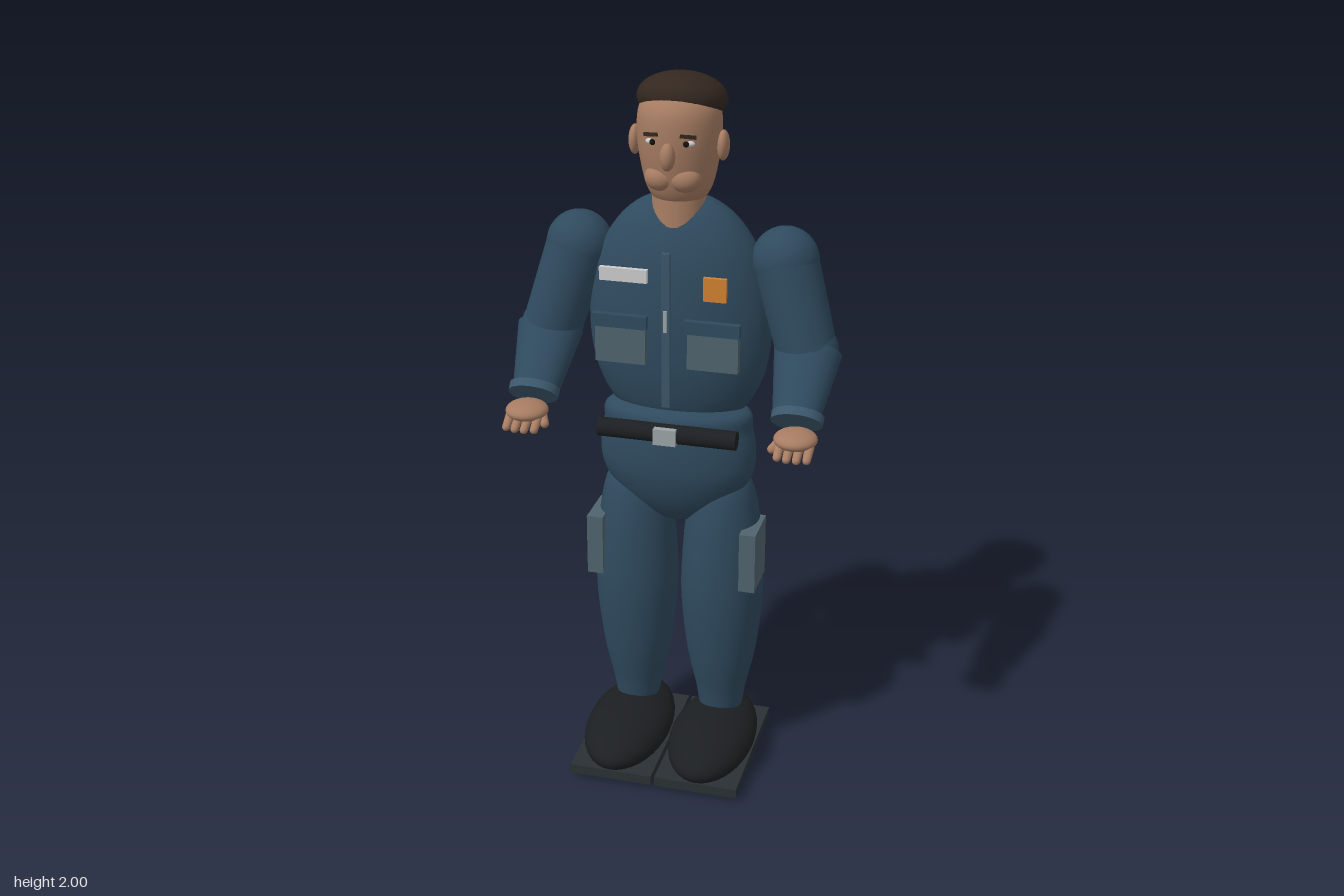
import * as THREE from 'three';

const mat = (color) => new THREE.MeshStandardMaterial({ color, side: THREE.DoubleSide });
const M = {
  cloth: mat(0x2f4a5e), trim: mat(0x3b566a), pocket: mat(0x50636d), skin: mat(0xa67c62),
  hair: mat(0x33271f), black: mat(0x1c1f21), sole: mat(0x2a3034), metal: mat(0x9aa3a6),
  white: mat(0xd8d8d4), orange: mat(0xd08030), dark: mat(0x15120f),
};

function add(parent, name, geometry, material, x = 0, y = 0, z = 0) {
  const mesh = new THREE.Mesh(geometry, material);
  mesh.name = name;
  mesh.position.set(x, y, z);
  parent.add(mesh);
  return mesh;
}

function ball(parent, name, material, [x, y, z], [rx, ry, rz]) {
  const mesh = add(parent, name, new THREE.SphereGeometry(1, 36, 24), material, x, y, z);
  mesh.scale.set(rx, ry, rz);
  return mesh;
}

function box(parent, name, material, [x, y, z], [w, h, d]) {
  return add(parent, name, new THREE.BoxGeometry(w, h, d), material, x, y, z);
}

// Smooth turned body: rows of [radius, y], flattened in z
function turned(parent, name, material, rows, x, z, depth) {
  const curve = new THREE.SplineCurve(rows.map(([r, y]) => new THREE.Vector2(r, y)));
  const points = curve.getPoints(40).map((p) => new THREE.Vector2(Math.max(0, p.x), p.y));
  const mesh = add(parent, name, new THREE.LatheGeometry(points, 40), material, x, 0, z);
  mesh.scale.z = depth;
  return mesh;
}

// Tapered limb section between two points, widened in x
function limb(parent, name, material, from, to, r0, r1, widen = 1) {
  const a = new THREE.Vector3(...from), b = new THREE.Vector3(...to);
  const dir = b.clone().sub(a);
  const geometry = new THREE.CylinderGeometry(r1, r0, dir.length(), 32);
  geometry.scale(widen, 1, 1);
  const mesh = add(parent, name, geometry, material);
  mesh.position.copy(a).add(b).multiplyScalar(0.5);
  mesh.quaternion.setFromUnitVectors(new THREE.Vector3(0, 1, 0), dir.normalize());
  // keep the wide axis across the body for limbs pointing forward
  if (widen !== 1) mesh.rotation.set(Math.atan2(dir.z, dir.y), 0, 0);
  return mesh;
}

function buildHead() {
  const head = new THREE.Group();
  head.name = 'head';
  add(head, 'neck', new THREE.CylinderGeometry(0.068, 0.076, 0.16, 32), M.skin, 0, 1.66, -0.08);
  turned(head, 'skull', M.skin,
    [[0, 1.66], [0.055, 1.667], [0.084, 1.70], [0.102, 1.77], [0.111, 1.85], [0.103, 1.92], [0.06, 1.965], [0, 1.975]],
    0, -0.083, 1.02);
  ball(head, 'hair', M.hair, [0, 1.93, -0.108], [0.119, 0.068, 0.113]).rotation.x = -0.2;
  ball(head, 'nose', M.skin, [0, 1.81, 0.04], [0.02, 0.036, 0.022]);
  for (const s of [-1, 1]) {
    ball(head, 'ear', M.skin, [s * 0.118, 1.82, -0.075], [0.016, 0.04, 0.028]);
    ball(head, 'cheek', M.skin, [s * 0.032, 1.742, -0.014], [0.043, 0.036, 0.038]);
    ball(head, 'eye', M.white, [s * 0.046, 1.842, 0.013], [0.019, 0.009, 0.01]);
    ball(head, 'pupil', M.dark, [s * 0.044, 1.842, 0.022], [0.008, 0.008, 0.005]);
    const brow = box(head, 'eyebrow', M.hair, [s * 0.048, 1.861, 0.018], [0.042, 0.009, 0.012]);
    brow.rotation.set(0, s * 0.35, -s * 0.12);
  }
  return head;
}

function buildTorso() {
  const torso = new THREE.Group();
  torso.name = 'torso';
  turned(torso, 'jacket', M.cloth,
    [[0, 1.05], [0.12, 1.057], [0.185, 1.09], [0.235, 1.19], [0.252, 1.31], [0.244, 1.42], [0.215, 1.53],
      [0.155, 1.62], [0.08, 1.67], [0, 1.675]], 0, -0.096, 0.55);
  turned(torso, 'hips', M.cloth,
    [[0, 0.735], [0.07, 0.75], [0.155, 0.81], [0.21, 0.89], [0.22, 0.96], [0.21, 1.03], [0.187, 1.09], [0, 1.12]],
    0, -0.072, 0.53);
  box(torso, 'zipper', M.trim, [0, 1.345, 0.056], [0.022, 0.43, 0.012]);
  box(torso, 'zipperPull', M.metal, [0, 1.375, 0.064], [0.01, 0.06, 0.006]);
  box(torso, 'nameTag', M.white, [-0.117, 1.49, 0.048], [0.13, 0.036, 0.014]);
  box(torso, 'badge', M.orange, [0.13, 1.47, 0.049], [0.062, 0.064, 0.012]);
  for (const s of [-1, 1]) {
    box(torso, 'chestPocket', M.pocket, [s * 0.126, 1.3, 0.044], [0.138, 0.112, 0.026]);
    box(torso, 'pocketFlap', M.cloth, [s * 0.126, 1.365, 0.06], [0.15, 0.036, 0.018]);
  }
  const belt = add(torso, 'belt', new THREE.CylinderGeometry(0.026, 0.026, 0.385, 28), M.black, 0, 1.046, 0.044);
  belt.rotation.z = Math.PI / 2;
  box(torso, 'buckle', M.metal, [0, 1.047, 0.07], [0.062, 0.046, 0.018]);
  return torso;
}

function buildArm(s) {
  const arm = new THREE.Group();
  arm.name = s > 0 ? 'leftArm' : 'rightArm';
  const shoulder = [s * 0.283, 1.517, -0.1], elbow = [s * 0.353, 1.29, -0.063], wrist = [s * 0.362, 1.145, 0.085];
  ball(arm, 'shoulder', M.cloth, shoulder, [0.09, 0.09, 0.088]);
  limb(arm, 'upperArm', M.cloth, shoulder, elbow, 0.088, 0.081);
  ball(arm, 'elbow', M.cloth, elbow, [0.085, 0.075, 0.08]);
  limb(arm, 'forearm', M.cloth, [s * 0.355, 1.28, -0.058], wrist, 0.073, 0.05, 1.25);
  limb(arm, 'cuff', M.trim, [s * 0.362, 1.156, 0.074], [s * 0.363, 1.14, 0.092], 0.053, 0.052, 1.33);

  // Palm with four fingers and a thumb
  ball(arm, 'palm', M.skin, [s * 0.368, 1.11, 0.128], [0.058, 0.026, 0.058]);
  for (let i = 0; i < 4; i++) {
    const x = s * (0.331 + i * 0.026);
    const reach = i === 0 || i === 3 ? 0.193 : 0.2;
    limb(arm, 'finger', M.skin, [x, 1.1, 0.145], [x, 1.078, reach - 0.01], 0.013, 0.011);
    ball(arm, 'fingertip', M.skin, [x, 1.078, reach - 0.01], [0.011, 0.011, 0.012]);
  }
  limb(arm, 'thumb', M.skin, [s * 0.335, 1.105, 0.11], [s * 0.311, 1.086, 0.153], 0.015, 0.012);
  ball(arm, 'thumbTip', M.skin, [s * 0.311, 1.086, 0.153], [0.012, 0.012, 0.012]);
  return arm;
}

function buildLeg(s) {
  const leg = new THREE.Group();
  leg.name = s > 0 ? 'leftLeg' : 'rightLeg';
  turned(leg, 'trouserLeg', M.cloth,
    [[0, 0.1], [0.055, 0.12], [0.073, 0.2], [0.1, 0.33], [0.117, 0.5], [0.114, 0.64], [0.101, 0.77],
      [0.078, 0.86], [0.04, 0.895], [0, 0.9]], s * 0.126, -0.092, 1.02);
  box(leg, 'thighPocket', M.pocket, [s * 0.22, 0.66, -0.053], [0.046, 0.178, 0.136]);
  ball(leg, 'boot', M.black, [s * 0.126, 0.075, 0], [0.122, 0.075, 0.23]);
  box(leg, 'sole', M.sole, [s * 0.125, 0.029, -0.008], [0.24, 0.028, 0.44]);
  return leg;
}

export function createModel() {
  const model = new THREE.Group();
  model.name = 'uniformedMan';
  model.add(buildHead(), buildTorso());
  for (const s of [-1, 1]) model.add(buildArm(s), buildLeg(s));
  return model;
}
